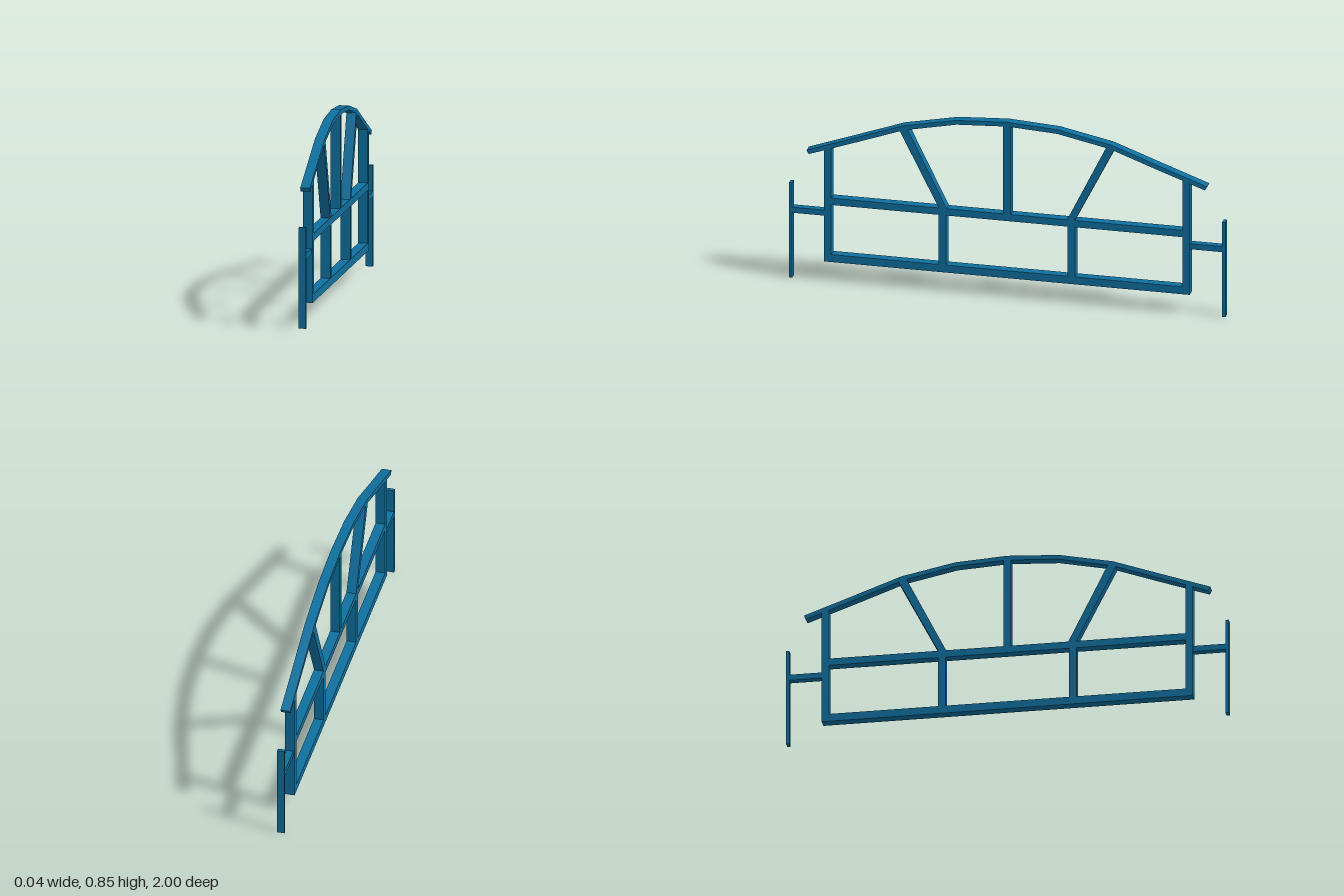
import * as THREE from 'three';

export function createModel() {
  const model = new THREE.Group();
  model.name = 'archedGate';
  const paint = new THREE.MeshStandardMaterial({ color: 0x0e6f9e });
  paint.name = 'blue paint';
  const W = 0.044, NARROW = 0.033;

  // Extrudes a [z, y] outline across x, centred on x = 0
  function panel(name, outline, width = W) {
    const shape = new THREE.Shape(outline.map(([z, y]) => new THREE.Vector2(z, y)));
    const geo = new THREE.ExtrudeGeometry(shape, { depth: width, bevelEnabled: false });
    geo.translate(0, 0, -width / 2);
    geo.rotateY(-Math.PI / 2);
    const mesh = new THREE.Mesh(geo, paint);
    mesh.name = name;
    model.add(mesh);
  }

  // Straight bar between z and y limits
  function bar(name, z0, z1, y0, y1, width = W) {
    const mesh = new THREE.Mesh(new THREE.BoxGeometry(width, y1 - y0, z1 - z0), paint);
    mesh.position.set(0, (y0 + y1) / 2, (z0 + z1) / 2);
    mesh.name = name;
    model.add(mesh);
  }

  // Arched top rail: outer edge, then inner edge back
  const outer = [[0, 0.845], [0.234, 0.831], [0.478, 0.781], [0.69, 0.704], [0.918, 0.622]];
  const inner = [[0, 0.824], [0.231, 0.811], [0.472, 0.761], [0.683, 0.684], [0.908, 0.604]];
  const fullSpan = (half) => [...half.slice(1).reverse().map(([z, y]) => [-z, y]), ...half];
  panel('archRail', [...fullSpan(outer), ...fullSpan(inner).reverse()]);

  // Horizontal rails and centre post
  bar('bottomRail', -0.806, 0.806, 0.094, 0.13);
  bar('middleRail', -0.806, 0.806, 0.369, 0.402);
  bar('centrePost', -0.017, 0.017, 0.402, 0.826);

  // Mirrored parts at both ends
  for (const s of [1, -1]) {
    const sided = (name, z0, z1, y0, y1, w) =>
      bar(name, Math.min(s * z0, s * z1), Math.max(s * z0, s * z1), y0, y1, w);
    const mirrored = (pts) => pts.map(([z, y]) => [s * z, y]);

    panel('endPost', mirrored([[0.805, 0.094], [0.838, 0.094], [0.838, 0.634], [0.805, 0.645]]));
    sided('lowerPost', 0.279, 0.313, 0.13, 0.369);
    panel('diagonalStrut', mirrored([[0.276, 0.402], [0.312, 0.402], [0.492, 0.757], [0.455, 0.766]]));
    sided('hingeArm', 0.838, 0.985, 0.312, 0.339, NARROW);
    sided('mountingPlate', 0.985, 1.0, 0, 0.456, NARROW);
  }
  return model;
}
